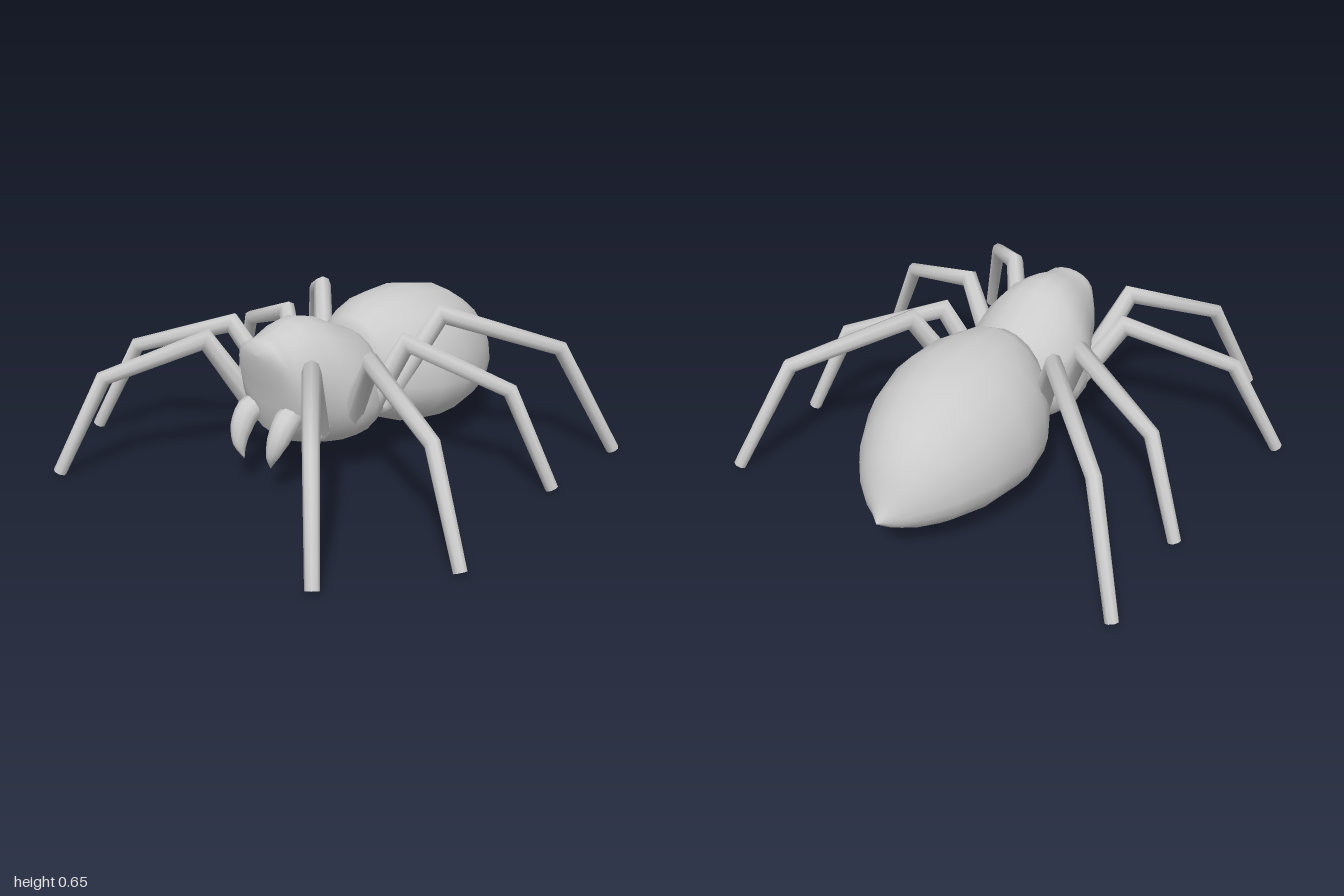
import * as THREE from 'three';

const V = (x, y, z) => new THREE.Vector3(x, y, z);
const material = new THREE.MeshStandardMaterial({ color: 0xcccccc });

// Skin a series of closed rings (each with the same number of points)
function loft(name, rings) {
  const n = rings[0].length, index = [];
  for (let i = 0; i < rings.length - 1; i++) {
    for (let j = 0; j < n; j++) {
      const k = (j + 1) % n;
      const a = i * n + j, b = i * n + k, c = a + n, d = b + n;
      index.push(a, b, c, b, d, c);
    }
  }
  const geometry = new THREE.BufferGeometry().setFromPoints(rings.flat());
  geometry.setIndex(index);
  geometry.computeVertexNormals();
  const mesh = new THREE.Mesh(geometry, material);
  mesh.name = name;
  return mesh;
}

// Body built from egg-shaped sections [z, top, bottom, widest height, half width]
function body(name, sections, sides = 20) {
  return loft(name, sections.map(([z, top, bottom, mid, w]) =>
    Array.from({ length: sides }, (_, j) => {
      const a = (j / sides) * Math.PI * 2, c = Math.cos(a);
      return V(-w * Math.sin(a), mid + c * (c > 0 ? top - mid : mid - bottom), z);
    })));
}

// Mitred tapering tube through points lying in one upright plane with normal "side"
function limb(name, points, radii, side, sides = 8) {
  const last = points.length - 1;
  const rings = points.map((p, i) => {
    const before = p.clone().sub(points[Math.max(i - 1, 0)]).normalize();
    const after = points[Math.min(i + 1, last)].clone().sub(p).normalize();
    const t = before.clone().add(after).normalize();
    const n = side.clone().cross(t);
    const mitre = i === 0 || i === last ? 1 : Math.min(1.35, 1 / t.dot(after));
    return Array.from({ length: sides }, (_, j) => {
      const a = (j / sides) * Math.PI * 2;
      return p.clone().addScaledVector(n, Math.cos(a) * radii[i] * mitre)
        .addScaledVector(side, Math.sin(a) * radii[i]);
    });
  });
  // slightly hollow end
  const hollow = points[last].clone().lerp(points[last - 1], 0.05);
  rings.push(rings[last].map(p => p.clone()), rings[last].map(() => hollow.clone()));
  // keep the end rim sharp by not sharing vertices between wall and cap
  const group = new THREE.Group();
  group.name = name;
  group.add(loft(name + 'Tube', rings.slice(0, last + 1)), loft(name + 'End', rings.slice(last + 1)));
  return group;
}

// Leg joints: hip, knee, ankle, foot on the +x side
const legs = [
  ['frontLeg', [[0.16, 0.24, 0.31], [0.28, 0.55, 0.47], [0.55, 0.405, 0.765], [0.685, 0.015, 0.91]]],
  ['secondLeg', [[0.18, 0.24, 0.15], [0.37, 0.545, 0.245], [0.78, 0.4, 0.41], [0.975, 0.015, 0.495]]],
  ['thirdLeg', [[0.18, 0.24, 0.05], [0.32, 0.545, -0.025], [0.7, 0.4, -0.18], [0.86, 0.015, -0.26]]],
  ['rearLeg', [[0.16, 0.24, -0.08], [0.32, 0.61, -0.245], [0.67, 0.46, -0.58], [0.85, 0.015, -0.75]]],
];

function makeLeg(name, joints, mirror) {
  const pts = joints.map(([x, y, z]) => V(x * mirror, y, z));
  const hip = pts[0], foot = pts[3];
  const dir = V(foot.x - hip.x, 0, foot.z - hip.z).normalize();
  // side x direction points up
  const side = V(dir.z, 0, -dir.x);
  if (side.clone().cross(dir).y < 0) side.negate();
  const leg = limb(name, pts, [0.046, 0.036, 0.03, 0.026], side);

  // rounded hip joint reaching into the body
  const coxa = new THREE.Mesh(new THREE.SphereGeometry(0.05, 10, 8), material);
  coxa.name = 'hipJoint';
  coxa.scale.set(1, 1, 1.6);
  coxa.position.copy(hip).addScaledVector(dir, -0.03);
  coxa.rotation.y = Math.atan2(dir.x, dir.z);
  leg.add(coxa);
  return leg;
}

// Curved, pointed fang
function makeFang(mirror) {
  const path = new THREE.CatmullRomCurve3([
    V(0.085, 0.31, 0.35), V(0.1, 0.29, 0.42), V(0.1, 0.23, 0.465),
    V(0.09, 0.17, 0.485), V(0.072, 0.115, 0.48),
  ].map(p => p.setX(p.x * mirror)));
  const radii = [0.05, 0.052, 0.044, 0.027, 0.001];
  const steps = 12, sides = 10, side = V(-1, 0, 0);
  const rings = Array.from({ length: steps + 1 }, (_, i) => {
    const u = i / steps, p = path.getPoint(u), t = path.getTangent(u);
    const k = Math.min(Math.floor(u * 4), 3);
    const r = THREE.MathUtils.lerp(radii[k], radii[k + 1], u * 4 - k);
    const n = side.clone().cross(t).normalize();
    return Array.from({ length: sides }, (_, j) => {
      const a = (j / sides) * Math.PI * 2;
      return p.clone().addScaledVector(n, Math.cos(a) * r).addScaledVector(side, Math.sin(a) * r);
    });
  });
  return loft('fang', rings);
}

export function createModel() {
  const spider = new THREE.Group();
  spider.name = 'spider';

  // Abdomen, from the pointed tail forward to the waist
  spider.add(body('abdomen', [
    [-0.94, 0.215, 0.215, 0.215, 0],
    [-0.89, 0.28, 0.17, 0.225, 0.06],
    [-0.87, 0.35, 0.158, 0.24, 0.1],
    [-0.82, 0.44, 0.13, 0.26, 0.16],
    [-0.74, 0.525, 0.1, 0.27, 0.225],
    [-0.6, 0.605, 0.07, 0.28, 0.295],
    [-0.42, 0.64, 0.053, 0.285, 0.335],
    [-0.27, 0.636, 0.075, 0.295, 0.316],
    [-0.14, 0.615, 0.13, 0.31, 0.25],
    [-0.07, 0.575, 0.19, 0.35, 0.185],
    [-0.04, 0.53, 0.25, 0.38, 0.13],
    [-0.03, 0.39, 0.39, 0.39, 0],
  ]));

  // Thorax and head, ending in a brow that overhangs the face
  spider.add(body('thoraxAndHead', [
    [-0.16, 0.3, 0.3, 0.3, 0],
    [-0.14, 0.42, 0.17, 0.3, 0.1],
    [-0.07, 0.52, 0.14, 0.3, 0.17],
    [0.0, 0.555, 0.125, 0.3, 0.235],
    [0.08, 0.59, 0.112, 0.3, 0.263],
    [0.16, 0.63, 0.115, 0.32, 0.262],
    [0.23, 0.65, 0.13, 0.37, 0.23],
    [0.3, 0.645, 0.15, 0.41, 0.195],
    [0.36, 0.625, 0.185, 0.42, 0.175],
    [0.4, 0.614, 0.22, 0.43, 0.155],
    [0.425, 0.61, 0.34, 0.47, 0.138],
    [0.45, 0.605, 0.43, 0.52, 0.115],
    [0.47, 0.59, 0.5, 0.55, 0.075],
    [0.475, 0.55, 0.55, 0.55, 0],
  ]));

  for (const mirror of [1, -1]) {
    spider.add(makeFang(mirror));
    for (const [name, joints] of legs) spider.add(makeLeg(name, joints, mirror));
  }
  return spider;
}
